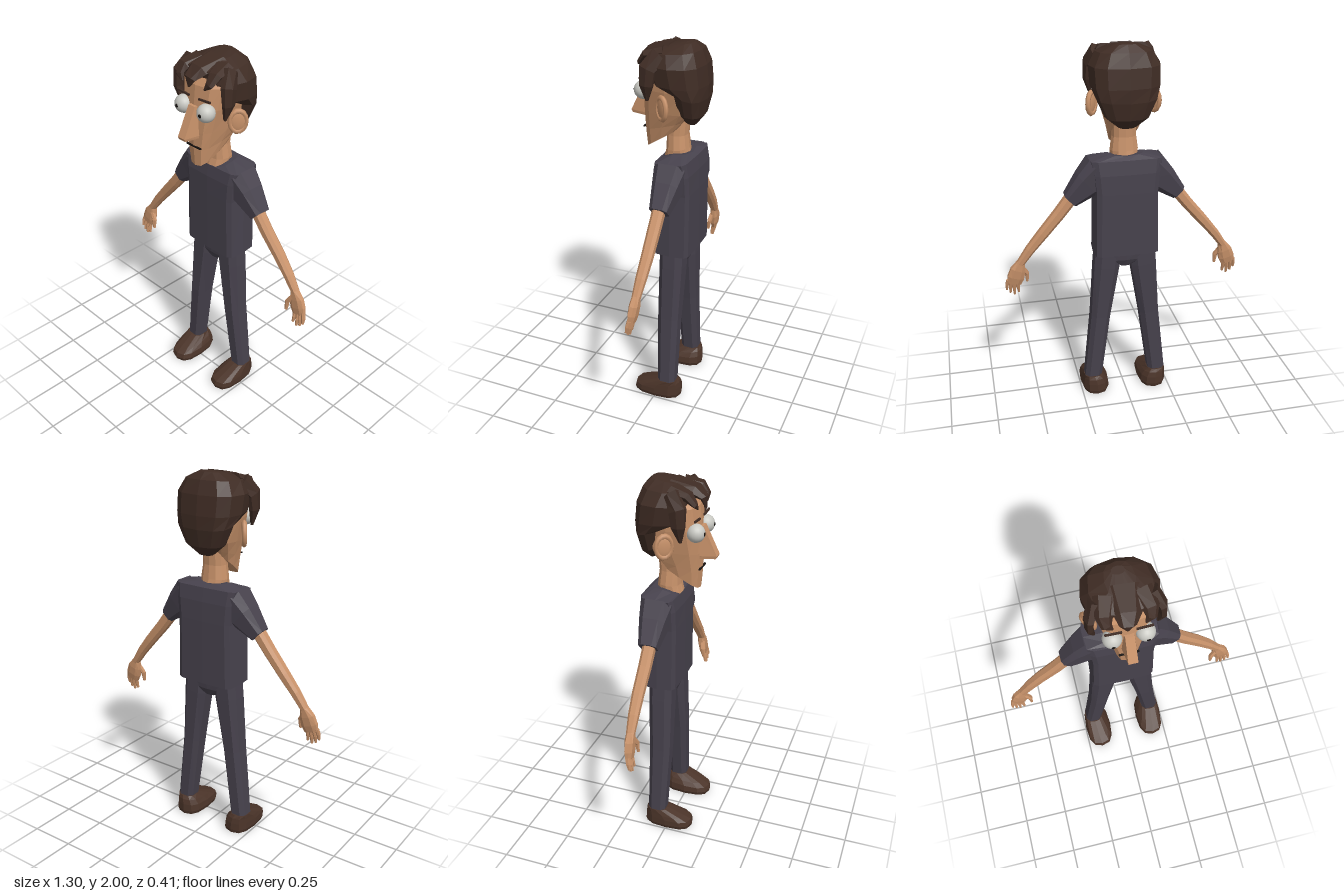
import * as THREE from 'three';

const material = (name, color) => Object.assign(new THREE.MeshStandardMaterial({ color }), { name });

// Faceted skin over closed cross-sections; both ends are capped.
function loft(rings) {
  const pos = [], n = rings[0].length;
  const tri = (a, b, c) => pos.push(...a, ...b, ...c);
  const middle = r => [0, 1, 2].map(k => r.reduce((s, p) => s + p[k], 0) / n);
  for (let i = 0; i < rings.length - 1; i++) for (let j = 0; j < n; j++) {
    const k = (j + 1) % n, a = rings[i], b = rings[i + 1];
    tri(a[j], a[k], b[k]);
    tri(a[j], b[k], b[j]);
  }
  const first = rings[0], last = rings[rings.length - 1], c0 = middle(first), c1 = middle(last);
  for (let j = 0; j < n; j++) {
    const k = (j + 1) % n;
    tri(c0, first[k], first[j]);
    tri(c1, last[j], last[k]);
  }
  // Turn the faces outward when the enclosed volume is negative.
  let volume = 0;
  const V = i => new THREE.Vector3().fromArray(pos, i);
  for (let i = 0; i < pos.length; i += 9) volume += V(i).dot(V(i + 3).cross(V(i + 6)));
  if (volume < 0) for (let i = 0; i < pos.length; i += 9) for (let k = 0; k < 3; k++)
    [pos[i + 3 + k], pos[i + 6 + k]] = [pos[i + 6 + k], pos[i + 3 + k]];
  const g = new THREE.BufferGeometry();
  g.setAttribute('position', new THREE.Float32BufferAttribute(pos, 3));
  g.computeVertexNormals();
  return g;
}

const soft = (v, p) => Math.sign(v) * Math.pow(Math.abs(v) < 1e-6 ? 0 : Math.abs(v), p);

// Level cross-section: front and back heights, half width, front and back z.
// p squares the corners, taper narrows the front.
function ring(cx, yf, yb, hx, zf, zb, p = 0.6, taper = 0, n = 12) {
  return Array.from({ length: n }, (_, i) => {
    const a = i / n * Math.PI * 2, c = soft(Math.cos(a), p), s = soft(Math.sin(a), p);
    return [cx + hx * s * (1 - taper * (c + 1) / 2), (yf + yb) / 2 + c * (yf - yb) / 2, (zf + zb) / 2 + c * (zf - zb) / 2];
  });
}

// Limb along points [x, y, z, half width, half depth].
function limb(path, n = 8, p = 0.8, ref = new THREE.Vector3(0, 0, 1)) {
  const P = path.map(q => new THREE.Vector3(q[0], q[1], q[2]));
  return loft(path.map((q, i) => {
    const t = P[Math.min(i + 1, P.length - 1)].clone().sub(P[Math.max(i - 1, 0)]).normalize();
    const u = t.clone().cross(ref).normalize(), v = u.clone().cross(t);
    return Array.from({ length: n }, (_, j) => {
      const a = (j + 0.5) / n * Math.PI * 2;
      return P[i].clone().addScaledVector(u, q[3] * soft(Math.cos(a), p)).addScaledVector(v, q[4] * soft(Math.sin(a), p)).toArray();
    });
  }));
}

export function createModel() {
  const skin = material('skin', 0xc8926a), shirt = material('shirt', 0x47424d), trousers = material('trousers', 0x46414c);
  const hair = material('hair', 0x3f2c24), leather = material('shoe leather', 0x4b3429);
  const eyeWhite = material('eye white', 0xc9c9c3), dark = material('pupil', 0x15110f);
  const model = new THREE.Group();
  const add = (name, geometry, mat, x = 0, y = 0, z = 0) => {
    const m = new THREE.Mesh(geometry, mat);
    m.name = name;
    m.position.set(x, y, z);
    model.add(m);
    return m;
  };
  const X = new THREE.Vector3(1, 0, 0);

  // Shirt body with a dipped neckline
  add('shirtBody', loft([
    ring(0, 0.886, 0.886, 0.175, 0.032, -0.165, 0.3),
    ring(0, 1.235, 1.235, 0.168, 0.035, -0.167, 0.3),
    ring(0, 1.34, 1.34, 0.178, 0.035, -0.165, 0.3),
    ring(0, 1.405, 1.415, 0.195, 0.025, -0.155, 0.35),
    ring(0, 1.385, 1.43, 0.1, 0.022, -0.13, 0.75).map(([x, y, z]) => [x, Math.min(1.435, y + Math.abs(x) * 0.28), z]),
  ]), shirt);
  add('neck', loft([
    ring(0, 1.37, 1.41, 0.07, 0.03, -0.115, 0.9),
    ring(0, 1.44, 1.45, 0.075, 0.012, -0.108, 0.9),
    ring(0, 1.52, 1.52, 0.065, 0.01, -0.1, 0.9),
    ring(0, 1.66, 1.66, 0.065, 0.0, -0.11, 0.9),
  ]), skin);

  // Long face with a narrow chin and a rising jaw line
  add('head', loft([
    ring(0, 1.437, 1.56, 0.085, 0.118, -0.07, 0.6, 0.4),
    ring(0, 1.53, 1.6, 0.105, 0.125, -0.1, 0.6, 0.4),
    ring(0, 1.63, 1.65, 0.13, 0.127, -0.14, 0.6, 0.35),
    ring(0, 1.76, 1.76, 0.152, 0.122, -0.17, 0.6, 0.22),
    ring(0, 1.87, 1.87, 0.16, 0.11, -0.17, 0.65, 0.15),
    ring(0, 1.94, 1.94, 0.12, 0.07, -0.13, 0.7),
  ]), skin);
  add('nose', loft([[1.77, 0.022, 0.026, 0.135], [1.62, 0.024, 0.038, 0.207], [1.605, 0.022, 0.036, 0.2]].map(([y, f, b, z], i) =>
    [[-f, y, z], [f, y, z], [b, y - (i ? 0.005 : 0), 0.1], [-b, y - (i ? 0.005 : 0), 0.1]])), skin);
  add('mouth', new THREE.BoxGeometry(0.1, 0.007, 0.009), dark, 0, 1.548, 0.124);

  // Hair cap: low at the nape, high at the crown
  add('hairCap', loft([
    ring(0, 1.6, 1.58, 0.05, -0.09, -0.145, 0.8),
    ring(0, 1.655, 1.63, 0.115, -0.06, -0.185, 0.8),
    ring(0, 1.76, 1.72, 0.158, -0.045, -0.203, 0.8),
    ring(0, 1.8, 1.79, 0.178, 0.06, -0.206, 0.75),
    ring(0, 1.89, 1.89, 0.182, 0.085, -0.195, 0.75),
    ring(0, 1.945, 1.96, 0.145, 0.1, -0.17, 0.75),
    ring(0, 1.975, 1.995, 0.07, 0.03, -0.135, 0.8),
    ring(0, 1.995, 2.0, 0.03, -0.07, -0.11, 0.8),
  ]), hair);
  add('forelock', limb([[0.01, 1.965, -0.03, 0.03, 0.09], [0, 1.94, 0.09, 0.03, 0.065],
    [-0.01, 1.91, 0.135, 0.018, 0.04], [-0.012, 1.865, 0.14, 0.004, 0.005]], 6, 0.9, X), hair);

  for (const s of [-1, 1]) {
    const side = s > 0 ? 'left' : 'right';
    const m = path => path.map(q => [q[0] * s, ...q.slice(1)]);
    const name = part => side + part;

    // Face details
    add(name('Eye'), new THREE.SphereGeometry(0.047, 20, 14), eyeWhite, s * 0.078, 1.75, 0.114);
    add(name('Pupil'), new THREE.SphereGeometry(0.01, 10, 8), dark, s * 0.081, 1.75, 0.159).scale.z = 0.4;
    add(name('Eyebrow'), new THREE.BoxGeometry(0.08, 0.009, 0.009), hair, s * 0.073, 1.813, 0.119).rotation.z = s * 0.08;
    const ear = new THREE.Group();
    ear.name = name('Ear');
    const lobe = new THREE.Mesh(new THREE.SphereGeometry(0.048, 12, 8), skin);
    lobe.name = 'earBowl';
    lobe.scale.set(0.9, 1.2, 0.25);
    const rim = new THREE.Mesh(new THREE.TorusGeometry(0.043, 0.012, 6, 14), skin);
    rim.name = 'earRim';
    rim.scale.set(0.95, 1.27, 1.1);
    ear.add(lobe, rim);
    ear.position.set(s * 0.16, 1.69, -0.022);
    ear.rotation.y = s * 0.92;
    model.add(ear);

    // Hair locks on the temple and brow
    add(name('TempleLock'), limb(m([[0.13, 1.945, 0, 0.05, 0.03], [0.165, 1.88, 0.05, 0.048, 0.026],
      [0.17, 1.8, 0.055, 0.038, 0.02], [0.152, 1.72, 0.06, 0.008, 0.008]]), 6, 0.9, X), hair);
    add(name('BrowLock'), limb(m([[0.08, 1.955, 0, 0.028, 0.055], [0.105, 1.935, 0.085, 0.025, 0.04],
      [0.1, 1.9, 0.115, 0.014, 0.026], [0.075, 1.87, 0.122, 0.004, 0.005]]), 6, 0.9, X), hair);

    // Sleeve and arm
    add(name('Sleeve'), limb(m([[0.13, 1.343, -0.065, 0.1, 0.088], [0.2, 1.283, -0.065, 0.078, 0.072],
      [0.291, 1.194, -0.062, 0.044, 0.05]]), 8, 0.6), shirt);
    add(name('Arm'), limb(m([[0.26, 1.23, -0.058, 0.036, 0.034], [0.35, 1.115, -0.058, 0.033, 0.033],
      [0.44, 1.01, -0.06, 0.03, 0.031], [0.51, 0.925, -0.058, 0.026, 0.028], [0.566, 0.845, -0.055, 0.021, 0.022]]), 8), skin);

    // Hand
    add(name('Palm'), limb(m([[0.56, 0.856, -0.055, 0.021, 0.021], [0.578, 0.81, -0.053, 0.042, 0.024],
      [0.592, 0.765, -0.05, 0.047, 0.022], [0.603, 0.73, -0.047, 0.04, 0.016]]), 8), skin);
    const fingers = [[0.633, 0.75, 0.643, 0.688], [0.616, 0.742, 0.624, 0.668], [0.598, 0.735, 0.602, 0.656], [0.579, 0.735, 0.578, 0.668]];
    fingers.forEach(([x0, y0, x1, y1], i) => add(name('Finger' + (i + 1)), limb(m([[x0, y0, -0.047, 0.011, 0.012],
      [(x0 + x1) / 2 + 0.003, (y0 + y1) / 2, -0.04, 0.01, 0.011], [x1, y1, -0.034, 0.006, 0.007]]), 6), skin));
    add(name('Thumb'), limb(m([[0.558, 0.815, -0.045, 0.016, 0.015], [0.531, 0.776, -0.035, 0.013, 0.013],
      [0.53, 0.725, -0.03, 0.007, 0.008]]), 6), skin);

    // Trouser leg and shoe
    add(name('Leg'), limb(m([[0.09, 0.92, -0.06, 0.074, 0.068], [0.102, 0.8, -0.06, 0.073, 0.068],
      [0.138, 0.49, -0.056, 0.056, 0.062], [0.186, 0.09, -0.062, 0.05, 0.052]]), 8, 0.7), trousers);
    add(name('Shoe'), loft([
      ring(s * 0.168, 0, 0, 0.073, 0.135, -0.135, 0.75),
      ring(s * 0.168, 0.02, 0.02, 0.08, 0.14, -0.14, 0.75),
      ring(s * 0.17, 0.045, 0.06, 0.076, 0.132, -0.138, 0.75),
      ring(s * 0.176, 0.065, 0.09, 0.066, 0.09, -0.132, 0.75),
      ring(s * 0.184, 0.107, 0.107, 0.053, -0.005, -0.12, 0.75),
    ]), leather);
  }

  // Trouser seat joining the legs
  add('trouserSeat', loft([
    ring(0, 0.8, 0.8, 0.04, -0.01, -0.11, 0.7),
    ring(0, 0.84, 0.84, 0.1, 0.005, -0.128, 0.6),
    ring(0, 0.92, 0.92, 0.163, 0.01, -0.132, 0.5),
  ]), trousers);
  return model;
}
